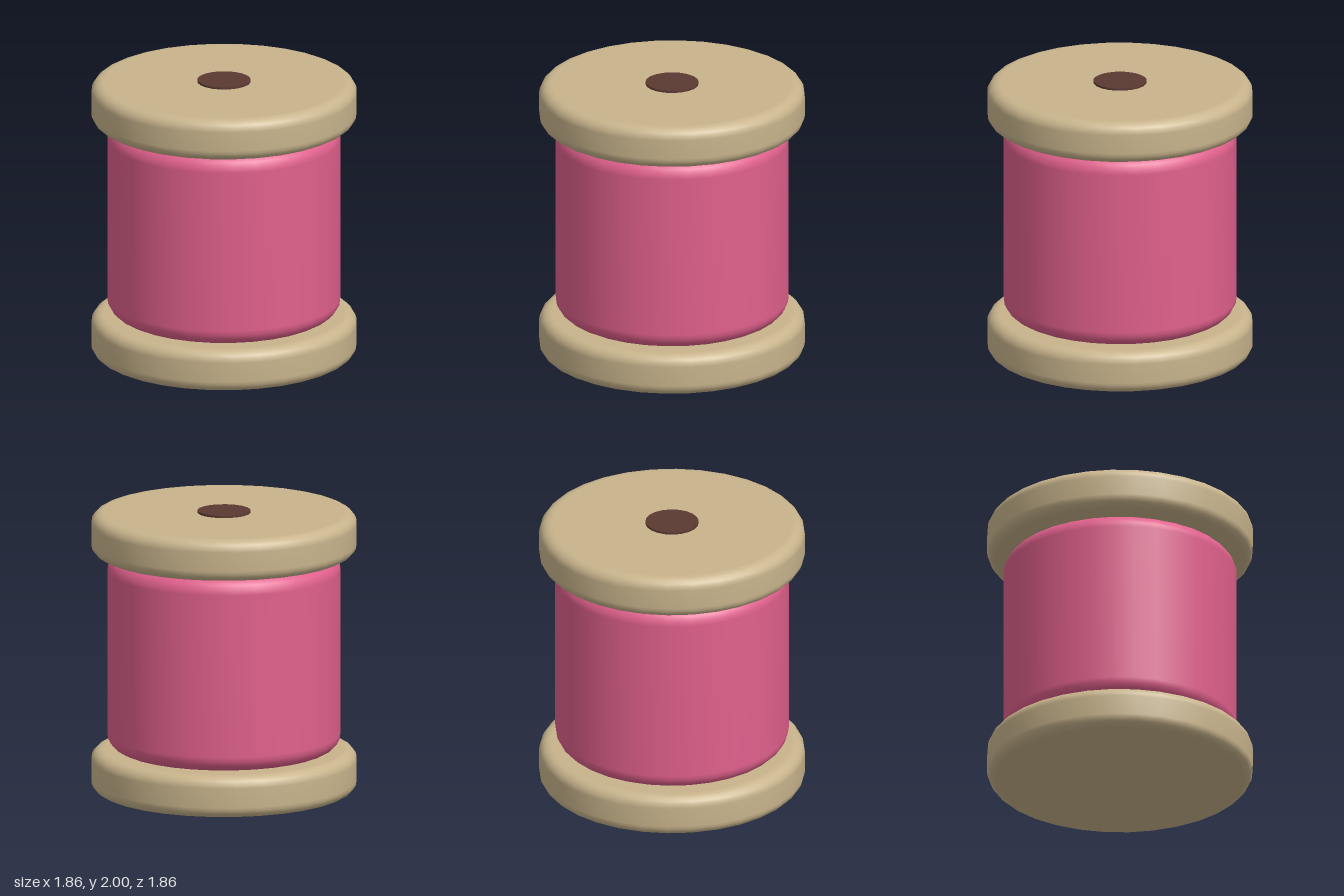
import * as THREE from 'three';

const wood = new THREE.MeshStandardMaterial({ color: 0xc8b48c });
wood.name = 'pale wood';
const thread = new THREE.MeshStandardMaterial({ color: 0xe0608c });
thread.name = 'pink thread';
const dark = new THREE.MeshStandardMaterial({ color: 0x5a3a32 });
dark.name = 'dark brown';

// Solid disc from y0 to y1 with rounded rims, turned on a lathe
function roundedDisc(name, radius, y0, y1, bevel, material) {
  const inner = radius - bevel;
  const steps = 5;
  const points = [new THREE.Vector2(0, y0), new THREE.Vector2(inner - 0.01, y0)];
  for (let i = 0; i <= steps; i++) {
    const a = (i / steps) * Math.PI / 2;
    points.push(new THREE.Vector2(inner + bevel * Math.sin(a), y0 + bevel * (1 - Math.cos(a))));
  }
  for (let i = 0; i <= steps; i++) {
    const a = (i / steps) * Math.PI / 2;
    points.push(new THREE.Vector2(inner + bevel * Math.cos(a), y1 - bevel * (1 - Math.sin(a))));
  }
  points.push(new THREE.Vector2(inner - 0.01, y1), new THREE.Vector2(0, y1));
  const mesh = new THREE.Mesh(new THREE.LatheGeometry(points, 32), material);
  mesh.name = name;
  return mesh;
}

export function createModel() {
  const group = new THREE.Group();
  group.name = 'threadSpool';

  // Wooden end discs and the wound thread between them
  group.add(roundedDisc('bottomFlange', 0.928, 0, 0.298, 0.08, wood));
  group.add(roundedDisc('threadWinding', 0.815, 0.3, 1.688, 0.115, thread));
  group.add(roundedDisc('topFlange', 0.928, 1.69, 1.985, 0.08, wood));

  // Dark spindle plug, just proud of the top disc
  const plug = new THREE.Mesh(new THREE.CylinderGeometry(0.186, 0.186, 0.1, 20), dark);
  plug.name = 'spindlePlug';
  plug.position.y = 1.95;
  group.add(plug);

  return group;
}
